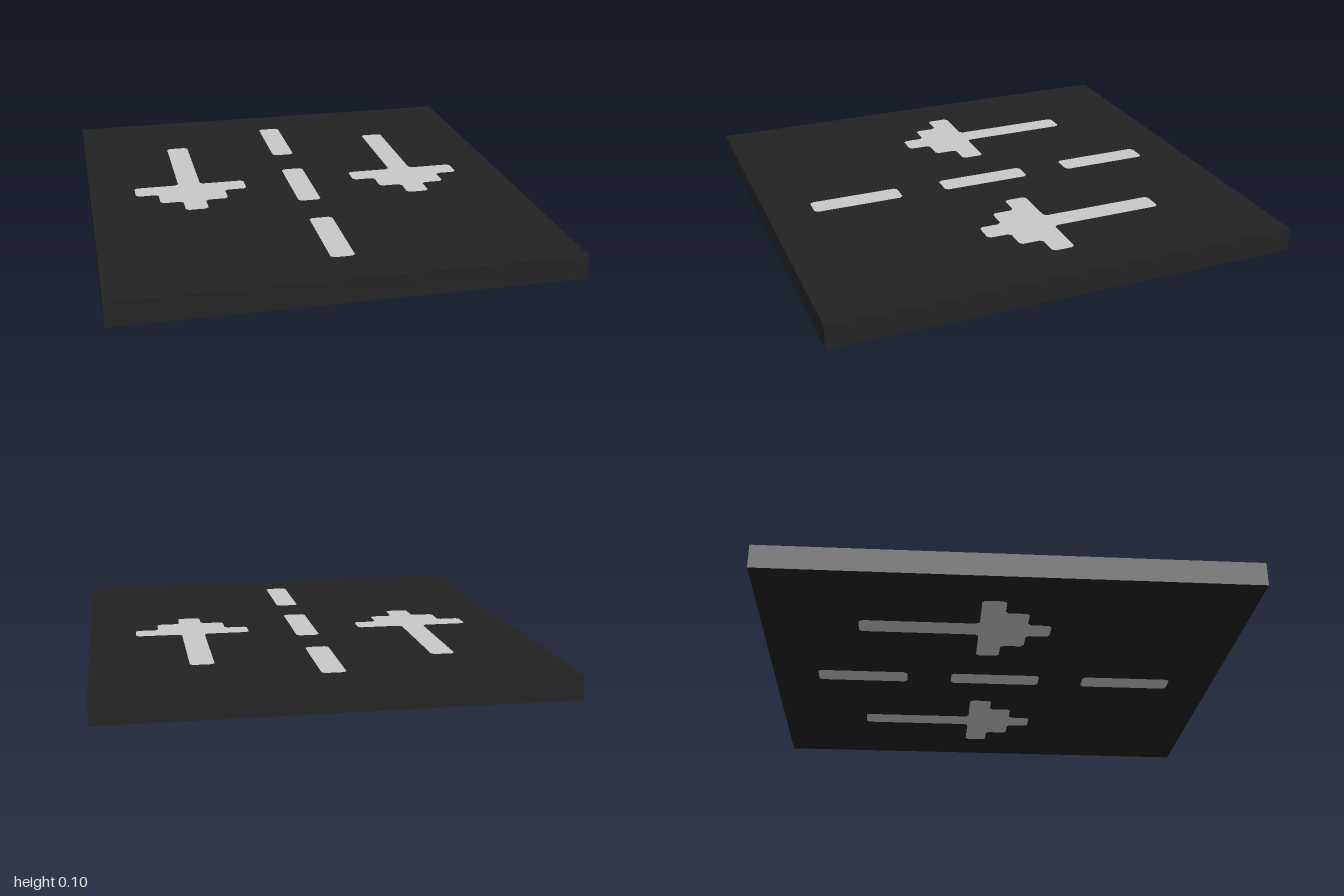
import * as THREE from 'three';

const THICK = 0.1;
const CUT = 0.013; // size of the clipped corners on the painted marks

// Clip every corner of an outline given as [x, z] points; returns points in the shape plane (y = -z).
function clipCorners(outline) {
  const pts = outline.map(([x, z]) => new THREE.Vector2(x, -z));
  return pts.flatMap((p, i) => {
    const prev = pts[(i + pts.length - 1) % pts.length];
    const next = pts[(i + 1) % pts.length];
    return [prev, next].map((q) => q.clone().sub(p).setLength(CUT).add(p));
  });
}

// Extrude a ground-plan shape upwards from y = 0.
function slab(shape, material, name) {
  const geometry = new THREE.ExtrudeGeometry(shape, { depth: THICK, bevelEnabled: false });
  geometry.rotateX(-Math.PI / 2);
  const mesh = new THREE.Mesh(geometry, material);
  mesh.name = name;
  return mesh;
}

function dash(z) {
  return [[-0.05, z - 0.2], [0.05, z - 0.2], [0.05, z + 0.2], [-0.05, z + 0.2]];
}

// Stepped arrow pointing to +z: one half, then its mirror image.
function arrow(cx) {
  const half = [
    [0.05, -0.6], [0.05, -0.1], [0.25, -0.1], [0.25, 0],
    [0.15, 0], [0.15, 0.1], [0.05, 0.1], [0.05, 0.2],
  ];
  const mirrored = half.map(([x, z]) => [-x, z]).reverse();
  return [...half, ...mirrored].map(([x, z]) => [x + cx, z]);
}

export function createModel() {
  const asphalt = new THREE.MeshStandardMaterial({ color: 0x222222 });
  asphalt.name = 'asphalt';
  const paint = new THREE.MeshStandardMaterial({ color: 0xc9c9c9 });
  paint.name = 'road paint';

  const marks = [
    ...[-0.6, 0, 0.6].map((z) => ['laneDash', dash(z)]),
    ['rightArrow', arrow(-0.5)],
    ['leftArrow', arrow(0.5)],
  ].map(([name, outline]) => [name, clipCorners(outline)]);

  // Road slab with an opening for each mark
  const plan = new THREE.Shape([[-0.95, -1], [0.95, -1], [0.95, 1], [-0.95, 1]]
    .map(([x, y]) => new THREE.Vector2(x, y)));
  plan.holes = marks.map(([, pts]) => new THREE.Path([...pts]));

  const group = new THREE.Group();
  group.name = 'roadTile';
  group.add(slab(plan, asphalt, 'roadSlab'));

  // Marks fill the openings, flush with the top and underside
  for (const [name, pts] of marks) group.add(slab(new THREE.Shape([...pts]), paint, name));
  return group;
}
